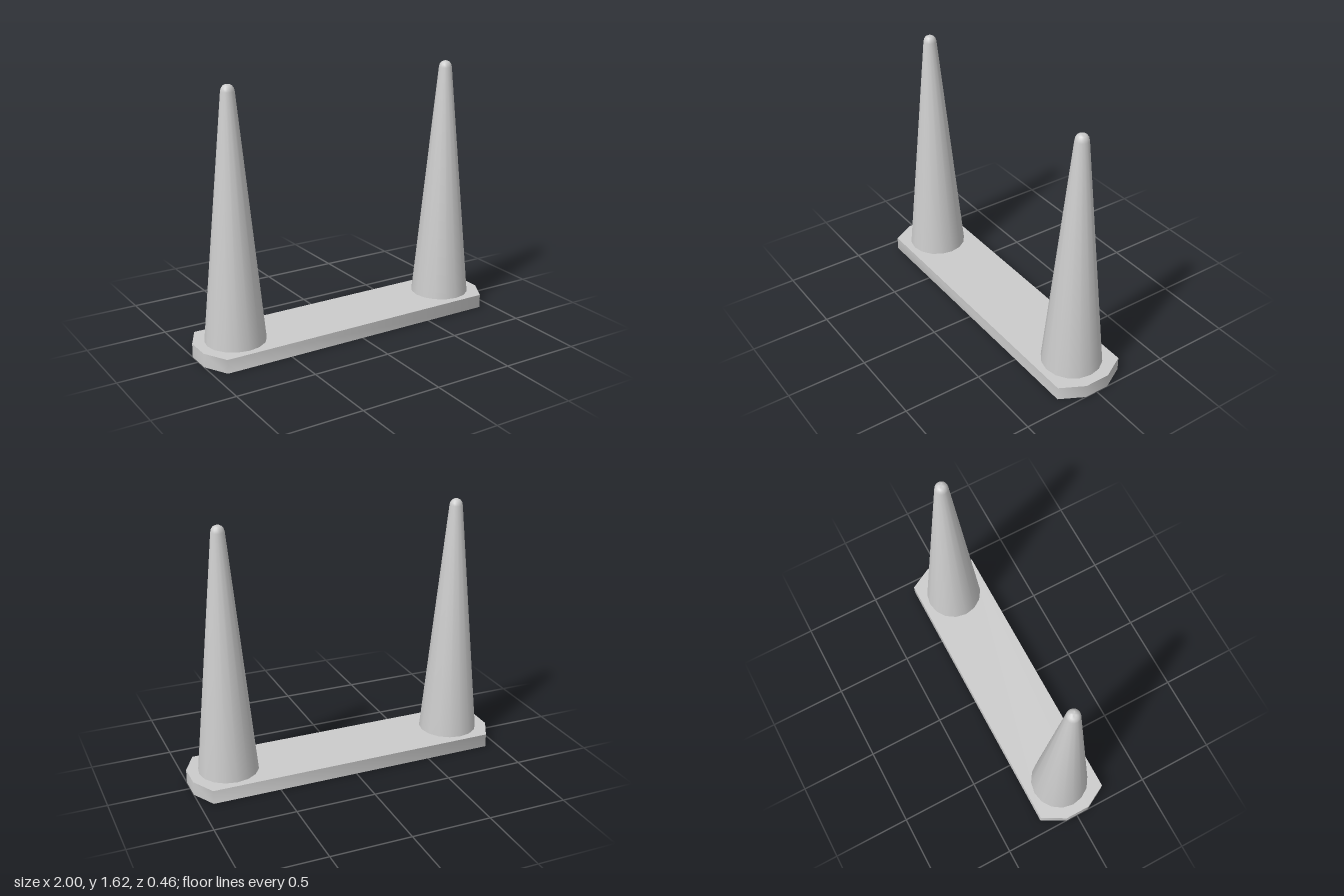
import * as THREE from 'three';
import { toCreasedNormals } from 'three/addons/utils/BufferGeometryUtils.js';

const grey = new THREE.MeshStandardMaterial({ color: 0xcccccc, side: THREE.DoubleSide });
const PLATE_TOP = 0.086;

function addMesh(parent, name, geometry) {
  const mesh = new THREE.Mesh(geometry, grey);
  mesh.name = name;
  parent.add(mesh);
  return mesh;
}

// Plan of the base: a long bar with chamfered corners, as [x, z]
const quarter = [[1, 0.08], [0.92, 0.228]];
const outline = [
  ...quarter,
  ...quarter.map(([x, z]) => [-x, z]).reverse(),
  ...quarter.map(([x, z]) => [-x, -z]),
  ...quarter.map(([x, z]) => [x, -z]).reverse(),
];

// Thin flat sheet on top of the base
function plateGeometry() {
  const shape = new THREE.Shape(outline.map(([x, z]) => new THREE.Vector2(x, -z)));
  return new THREE.ShapeGeometry(shape).rotateX(-Math.PI / 2).translate(0, PLATE_TOP, 0);
}

// Thin wall around the base, open underneath
function skirtGeometry() {
  const positions = [];
  outline.forEach(([x0, z0], i) => {
    const [x1, z1] = outline[(i + 1) % outline.length];
    const a = [x0, 0, z0], b = [x1, 0, z1];
    const c = [x1, PLATE_TOP, z1], d = [x0, PLATE_TOP, z0];
    positions.push(...a, ...c, ...b, ...a, ...d, ...c);
  });
  const geometry = new THREE.BufferGeometry();
  geometry.setAttribute('position', new THREE.Float32BufferAttribute(positions, 3));
  return toCreasedNormals(geometry, 1.1);
}

// Tapered post with a rounded tip; its foot sinks slightly through the plate
function postGeometry() {
  const profile = [
    [0, 0.07], [0.187, 0.07], [0.041, 1.58], [0.037, 1.598], [0.027, 1.612], [0.014, 1.619], [0, 1.621],
  ].map(([r, y]) => new THREE.Vector2(r, y));
  return toCreasedNormals(new THREE.LatheGeometry(profile, 16), 0.9);
}

export function createModel() {
  const model = new THREE.Group();
  model.name = 'twinPostStand';

  const base = new THREE.Group();
  base.name = 'base';
  addMesh(base, 'basePlate', plateGeometry());
  addMesh(base, 'baseSkirt', skirtGeometry());
  model.add(base);

  const post = postGeometry();
  for (const [name, x] of [['leftPost', 0.755], ['rightPost', -0.755]]) {
    addMesh(model, name, post).position.x = x;
  }
  return model;
}
